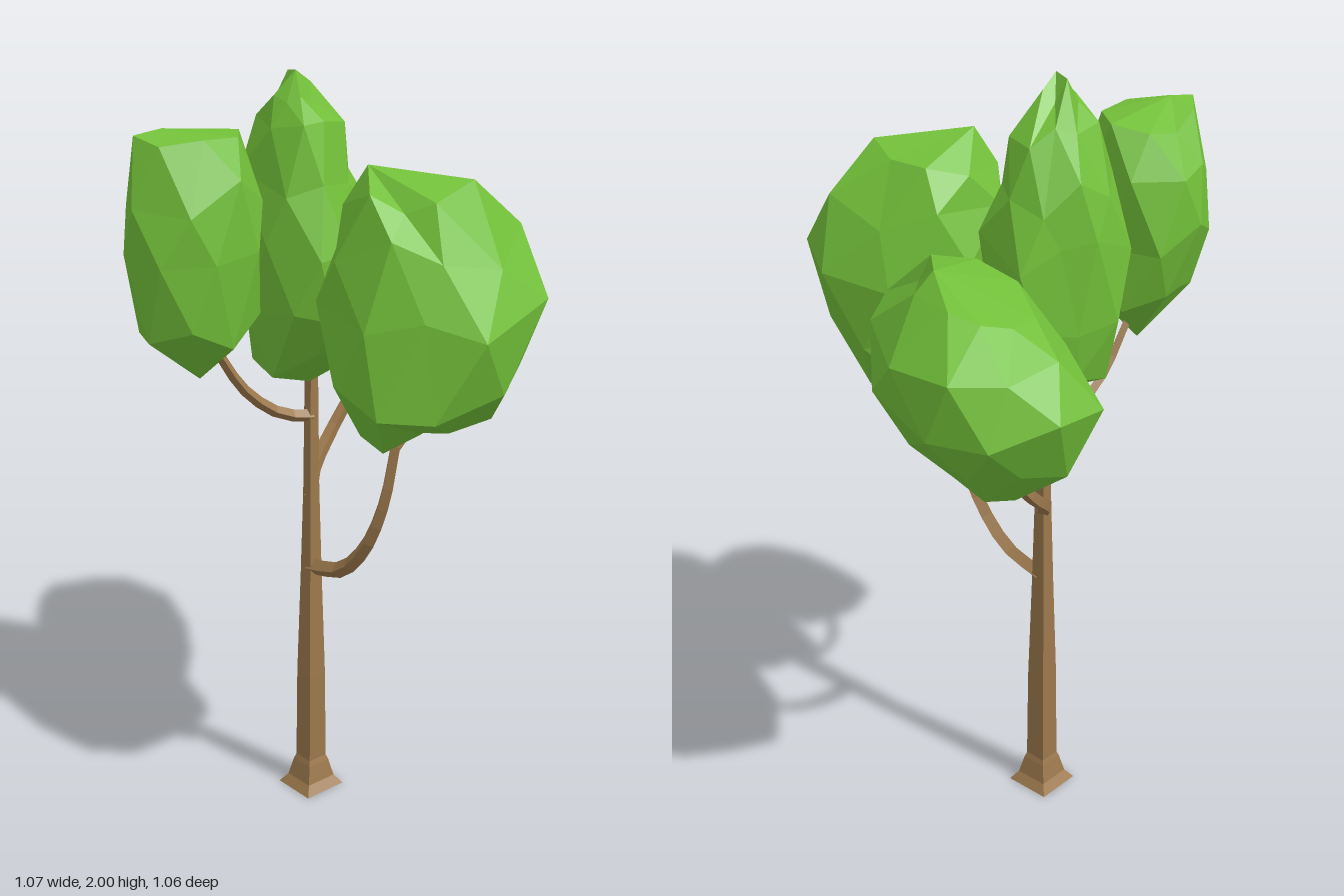
import * as THREE from 'three';

const leaf = new THREE.MeshStandardMaterial({ color: 0x72bf39, flatShading: true });
leaf.name = 'leaf green';
const bark = new THREE.MeshStandardMaterial({ color: 0x9b784c, flatShading: true, side: THREE.DoubleSide });
bark.name = 'bark brown';

// Small seeded random generator
function seeded(seed) {
  return () => {
    seed = (seed * 16807) % 2147483647;
    return seed / 2147483647;
  };
}

// Tapered four-sided limb along a smooth path
function limb(name, points, r0, r1, segments = 7) {
  const curve = new THREE.CatmullRomCurve3(points.map((p) => new THREE.Vector3(...p)));
  const sides = 4;
  const geo = new THREE.TubeGeometry(curve, segments, 1, sides);
  const pos = geo.attributes.position;
  const v = new THREE.Vector3();
  for (let i = 0; i <= segments; i++) {
    const centre = curve.getPointAt(i / segments);
    const r = THREE.MathUtils.lerp(r0, r1, i / segments);
    for (let j = 0; j <= sides; j++) {
      const k = i * (sides + 1) + j;
      v.fromBufferAttribute(pos, k).sub(centre).multiplyScalar(r).add(centre);
      pos.setXYZ(k, v.x, v.y, v.z);
    }
  }
  geo.computeVertexNormals();
  const mesh = new THREE.Mesh(geo, bark);
  mesh.name = name;
  return mesh;
}

// Faceted leaf clump: a plan outline [x, z] fitted to each ring [y, x0, x1, z0, z1],
// staggered and jittered, closed by a bottom and a top point
function clump(name, plan, bottom, rings, top, seed) {
  const rand = seeded(seed);
  const n = plan.length;
  const box = new THREE.Box2().setFromPoints(plan.map(([x, z]) => new THREE.Vector2(x, z)));
  const mid = box.getCenter(new THREE.Vector2());
  const size = box.getSize(new THREE.Vector2());
  const verts = [...bottom];
  const index = [];
  rings.forEach(([y, x0, x1, z0, z1], i) => {
    for (let j = 0; j < n; j++) {
      const t = (i % 2) * 0.5 + (rand() - 0.5) * 0.1;
      const [a, b] = t < 0 ? [plan[j], plan[(j + n - 1) % n]] : [plan[j], plan[(j + 1) % n]];
      const r = 0.94 + rand() * 0.1 + (i % 2) * 0.05;
      const px = THREE.MathUtils.lerp(a[0], b[0], Math.abs(t)) - mid.x;
      const pz = THREE.MathUtils.lerp(a[1], b[1], Math.abs(t)) - mid.y;
      verts.push(
        (x0 + x1) / 2 + (px / size.x) * (x1 - x0) * r,
        y + (rand() - 0.5) * 0.08,
        (z0 + z1) / 2 + (pz / size.y) * (z1 - z0) * r,
      );
    }
  });
  verts.push(...top);
  const last = rings.length * n + 1;
  const at = (i, j) => 1 + i * n + (j % n);
  for (let j = 0; j < n; j++) {
    index.push(0, at(0, j + 1), at(0, j));
    index.push(last, at(rings.length - 1, j), at(rings.length - 1, j + 1));
    for (let i = 0; i < rings.length - 1; i++) {
      const a = at(i, j), b = at(i, j + 1), c = at(i + 1, j + 1), d = at(i + 1, j);
      // the diagonal follows the stagger of the rings
      if (i % 2) index.push(a, b, c, a, c, d);
      else index.push(a, b, d, b, c, d);
    }
  }
  const geo = new THREE.BufferGeometry();
  geo.setAttribute('position', new THREE.Float32BufferAttribute(verts, 3));
  geo.setIndex(index);
  geo.computeVertexNormals();
  const mesh = new THREE.Mesh(geo, leaf);
  mesh.name = name;
  return mesh;
}

export function createModel() {
  const tree = new THREE.Group();
  tree.name = 'tree';

  // Square trunk with a flared foot: [half width, height]
  const profile = [[0, 0], [0.063, 0], [0.045, 0.025], [0.034, 0.075], [0.029, 0.09],
    [0.027, 0.35], [0.02, 0.65], [0.015, 0.9], [0.012, 1.25], [0, 1.25]]
    .map(([w, y]) => new THREE.Vector2(w * Math.SQRT2, y));
  const trunkGeo = new THREE.LatheGeometry(profile, 4, Math.PI / 4);
  const p = trunkGeo.attributes.position;
  for (let i = 0; i < p.count; i++) p.setX(i, p.getX(i) + 0.014 * p.getY(i)); // slight lean
  const trunk = new THREE.Mesh(trunkGeo, bark);
  trunk.name = 'trunk';
  trunk.position.set(-0.051, 0, -0.142);
  tree.add(trunk);

  // Branches and their forked twigs
  tree.add(
    limb('frontBranch', [[-0.042, 0.67, -0.14], [-0.045, 0.705, -0.015], [-0.045, 0.8, 0.08],
      [-0.035, 0.94, 0.14], [-0.018, 1.1, 0.163]], 0.023, 0.016, 10),
    limb('frontTwigLeft', [[-0.018, 1.09, 0.163], [0.015, 1.14, 0.18], [0.06, 1.22, 0.2]], 0.014, 0.01, 3),
    limb('frontTwigRight', [[-0.018, 1.09, 0.163], [-0.03, 1.14, 0.14], [-0.05, 1.24, 0.11]], 0.014, 0.01, 3),
    limb('leftBranch', [[-0.04, 0.87, -0.14], [0.01, 0.92, -0.19], [0.11, 1.0, -0.23],
      [0.18, 1.08, -0.235]], 0.021, 0.016),
    limb('leftTwigFront', [[0.175, 1.07, -0.235], [0.22, 1.11, -0.19], [0.29, 1.17, -0.12]], 0.014, 0.01, 3),
    limb('leftTwigBack', [[0.175, 1.07, -0.235], [0.195, 1.12, -0.28], [0.21, 1.22, -0.32]], 0.014, 0.01, 3),
    limb('rightBranch', [[-0.036, 1.1, -0.14], [-0.12, 1.12, -0.16], [-0.22, 1.2, -0.18],
      [-0.31, 1.34, -0.19]], 0.017, 0.012),
  );

  // Leaf clumps
  tree.add(
    clump('frontFoliage', [[-0.09, 0.53], [0.19, 0.49], [0.25, 0.33], [0.21, 0.14], [0.04, 0.02],
      [-0.22, 0.08], [-0.27, 0.3], [-0.18, 0.42]], [0.05, 1.13, 0.2], [
      [1.17, -0.15, 0.17, 0.1, 0.38], [1.3, -0.27, 0.22, 0.06, 0.48], [1.5, -0.25, 0.25, 0.025, 0.53],
      [1.64, -0.22, 0.2, 0.03, 0.46], [1.75, -0.17, 0.11, 0.07, 0.36]], [-0.1, 1.815, 0.15], 17),
    clump('leftFoliage', [[0.25, 0.155], [0.47, -0.04], [0.54, -0.3], [0.5, -0.45], [0.37, -0.525],
      [0.21, -0.535], [0.04, -0.25], [0.04, 0], [0.18, 0.14]], [0.3, 1.11, -0.28], [
      [1.15, 0.15, 0.4, -0.37, 0.02], [1.23, 0.08, 0.48, -0.48, 0.13], [1.36, 0.04, 0.54, -0.535, 0.16],
      [1.49, 0.06, 0.53, -0.47, 0.13], [1.59, 0.16, 0.42, -0.37, -0.01]], [0.34, 1.64, -0.13], 41),
    clump('rightFoliage', [[-0.33, -0.035], [-0.22, -0.07], [-0.185, -0.285], [-0.31, -0.365],
      [-0.4, -0.345], [-0.51, -0.29], [-0.545, -0.19], [-0.47, -0.04]], [-0.36, 1.265, -0.18], [
      [1.39, -0.51, -0.21, -0.3, -0.07], [1.58, -0.545, -0.185, -0.365, -0.035],
      [1.74, -0.53, -0.185, -0.35, -0.05], [1.85, -0.5, -0.21, -0.29, -0.1]], [-0.43, 1.89, -0.2], 73),
    clump('topFoliage', [[-0.08, 0.06], [0.08, -0.03], [0.11, -0.19], [0.02, -0.24], [-0.05, -0.29],
      [-0.18, -0.29], [-0.22, -0.09], [-0.16, 0.06]], [-0.05, 1.2, -0.13], [
      [1.27, -0.17, 0.1, -0.26, -0.02], [1.4, -0.22, 0.11, -0.29, 0.05], [1.6, -0.22, 0.11, -0.29, 0.06],
      [1.74, -0.21, 0.09, -0.27, 0.01], [1.86, -0.18, 0.05, -0.21, -0.03],
      [1.96, -0.15, -0.05, -0.16, -0.07]], [-0.1, 2, -0.11], 29),
  );
  return tree;
}
